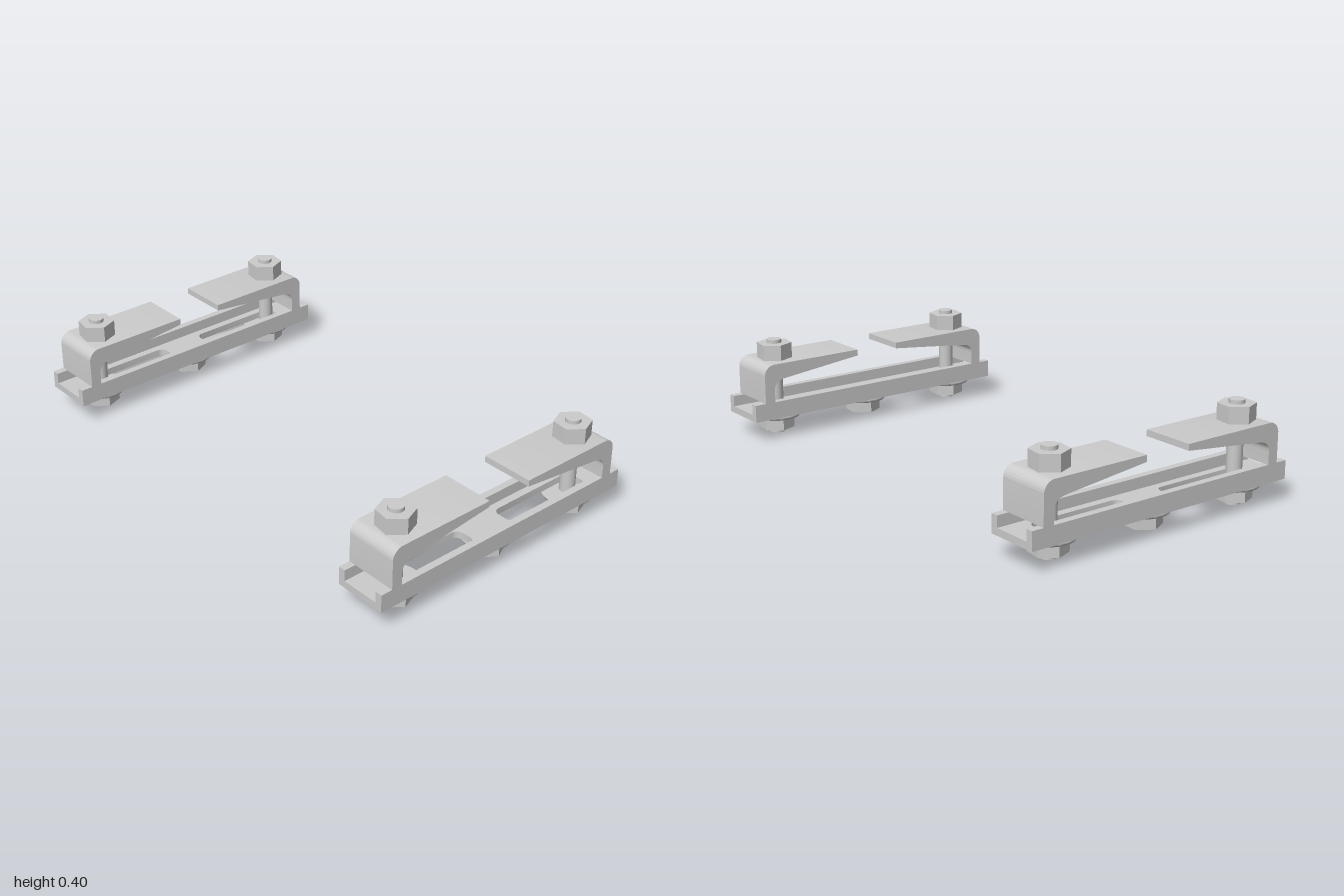
import * as THREE from 'three';
import { toCreasedNormals } from 'three/addons/utils/BufferGeometryUtils.js';

const material = new THREE.MeshStandardMaterial({ color: 0xcccccc });
const WIDTH = 0.213;
const RAIL_HALF = 0.595;
const BOLT_Z = 0.438;

function part(name, geometry, x = 0, y = 0, z = 0) {
  const mesh = new THREE.Mesh(geometry, material);
  mesh.name = name;
  mesh.position.set(x, y, z);
  return mesh;
}

// Vertical prism or rod between two heights
function rod(name, radius, y0, y1, z, sides = 24, turn = 0) {
  let geometry = new THREE.CylinderGeometry(radius, radius, y1 - y0, sides);
  if (sides === 6) geometry = toCreasedNormals(geometry, 0.5);
  geometry.rotateY(THREE.MathUtils.degToRad(turn));
  return part(name, geometry, 0, (y0 + y1) / 2, z);
}

// Round washer with a rounded lower rim
function washer(z) {
  const profile = [[0, 0.07], [0.086, 0.07], [0.095, 0.073], [0.1, 0.08], [0.1, 0.086], [0.097, 0.09], [0, 0.09]]
    .map(([r, y]) => new THREE.Vector2(r, y));
  return part('washer', toCreasedNormals(new THREE.LatheGeometry(profile, 40), 0.7), 0, 0, z);
}

// Open channel with two long slots in its floor
function channelRail() {
  const rail = new THREE.Group();
  rail.name = 'channelRail';
  const wall = 0.029;
  const inner = WIDTH / 2 - wall;

  const floor = new THREE.Shape();
  floor.moveTo(-inner, -RAIL_HALF).lineTo(inner, -RAIL_HALF)
    .lineTo(inner, RAIL_HALF).lineTo(-inner, RAIL_HALF).closePath();
  const w = 0.046, r = 0.03;
  for (const [a, b] of [[-0.49, -0.09], [0.09, 0.49]]) {
    const slot = new THREE.Path();
    slot.absarc(w - r, a + r, r, -Math.PI / 2, 0);
    slot.absarc(w - r, b - r, r, 0, Math.PI / 2);
    slot.absarc(r - w, b - r, r, Math.PI / 2, Math.PI);
    slot.absarc(r - w, a + r, r, Math.PI, Math.PI * 1.5);
    slot.closePath();
    floor.holes.push(slot);
  }
  const floorGeometry = new THREE.ExtrudeGeometry(floor, { depth: 0.028, bevelEnabled: false, curveSegments: 6 });
  floorGeometry.rotateX(Math.PI / 2);
  rail.add(part('railFloor', toCreasedNormals(floorGeometry, 0.6), 0, 0.118, 0));

  for (const side of [-1, 1]) {
    rail.add(part('railWall', new THREE.BoxGeometry(wall, 0.072, RAIL_HALF * 2),
      side * (WIDTH - wall) / 2, 0.126, 0));
  }
  return rail;
}

// Bent jaw: upright foot, rounded shoulder and tapering tongue
function clampJaw() {
  const shape = new THREE.Shape();
  shape.moveTo(0.503, 0.162);
  shape.lineTo(0.547, 0.162);
  shape.lineTo(0.547, 0.276);
  shape.absarc(0.502, 0.276, 0.045, 0, Math.PI / 2);
  shape.lineTo(0.098, 0.321);
  shape.lineTo(0.098, 0.296);
  shape.lineTo(0.45, 0.257);
  shape.bezierCurveTo(0.485, 0.253, 0.503, 0.24, 0.503, 0.21);
  shape.closePath();
  const geometry = new THREE.ExtrudeGeometry(shape, { depth: WIDTH, bevelEnabled: false, curveSegments: 10 });
  geometry.rotateY(-Math.PI / 2);
  geometry.translate(WIDTH / 2, 0, 0);
  return part('clampJaw', toCreasedNormals(geometry, 0.6));
}

function clampAssembly() {
  const clamp = new THREE.Group();
  clamp.name = 'railClamp';
  clamp.add(channelRail());

  for (const side of [1, -1]) {
    const jaw = clampJaw();
    if (side < 0) jaw.rotation.y = Math.PI;
    const z = side * BOLT_Z;
    clamp.add(
      jaw,
      rod('boltShank', 0.03, 0.002, 0.4, z),
      rod('topNut', 0.072, 0.321, 0.385, z, 6, 22),
      rod('bottomNut', 0.072, 0.022, 0.071, z, 6, 22),
      washer(z),
    );
  }

  // Middle bolt head under the rail
  clamp.add(rod('middleBoltHead', 0.072, 0.022, 0.071, -0.01, 6, 27), washer(-0.01));
  return clamp;
}

export function createModel() {
  const model = new THREE.Group();
  model.name = 'clampPair';
  for (const side of [-1, 1]) {
    const clamp = clampAssembly();
    clamp.position.x = side * (1 - WIDTH / 2);
    model.add(clamp);
  }
  return model;
}
